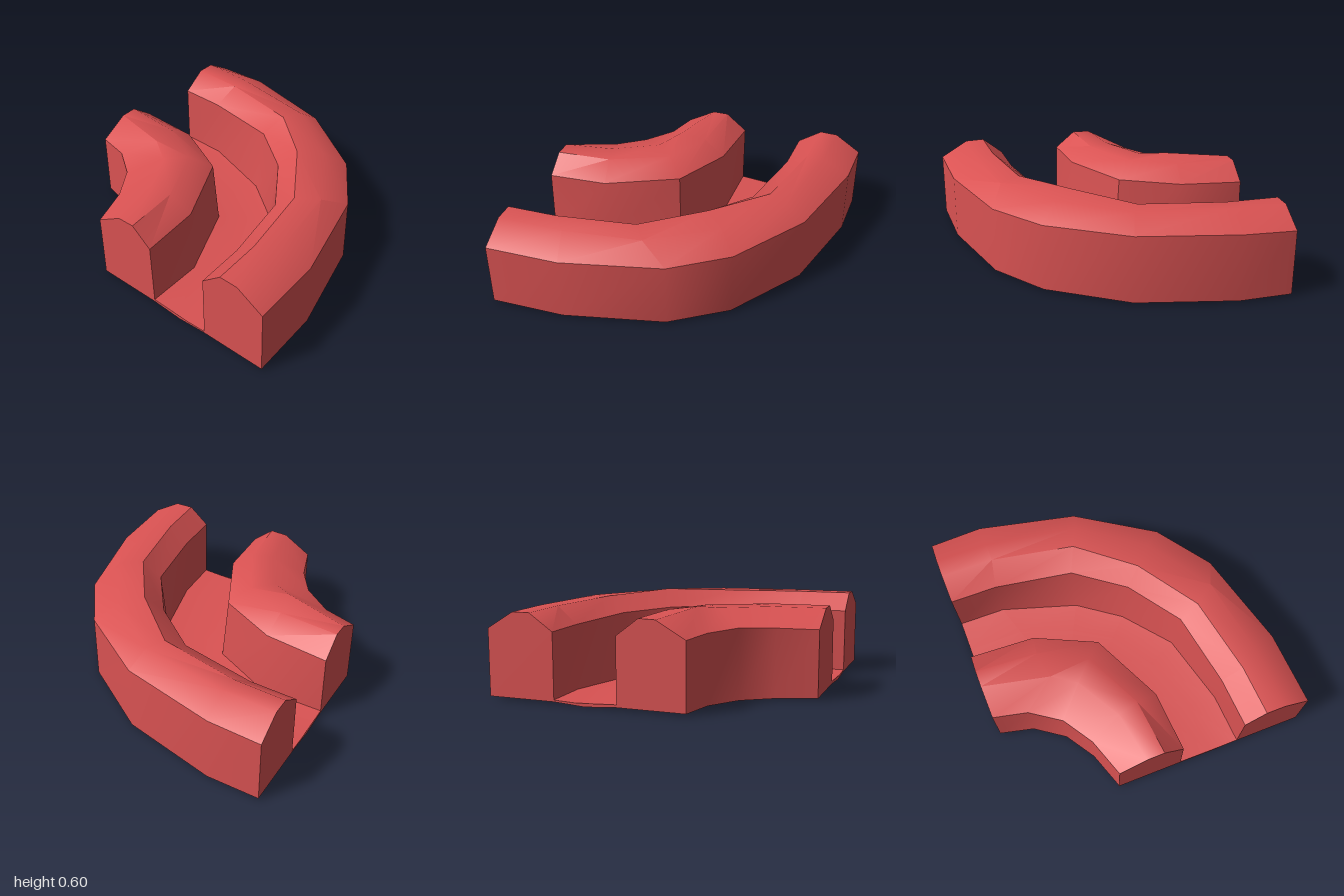
import * as THREE from 'three';
import { toCreasedNormals } from 'three/addons/utils/BufferGeometryUtils.js';

const red = new THREE.MeshStandardMaterial({ color: 0xd95252, side: THREE.DoubleSide });

// A rail is a list of [x, z] plan points, given a height or one height per point
const rail = (points, y) => points.map(([x, z], i) => [x, Array.isArray(y) ? y[i] : y, z]);

// Skin a closed solid across rails that run around the bend, with capped ends
function loft(name, rails, crease) {
  const n = rails[0].length, m = rails.length, pos = [];
  const tri = (...corners) => corners.forEach(c => pos.push(...c));
  for (let s = 0; s < n - 1; s++) {
    for (let r = 0; r < m; r++) {
      const p = rails[r], q = rails[(r + 1) % m];
      tri(p[s], q[s], p[s + 1]);
      tri(q[s], q[s + 1], p[s + 1]);
    }
  }
  for (let r = 1; r < m - 1; r++) {
    tri(rails[0][0], rails[r + 1][0], rails[r][0]);
    tri(rails[0][n - 1], rails[r][n - 1], rails[r + 1][n - 1]);
  }
  const geo = new THREE.BufferGeometry();
  geo.setAttribute('position', new THREE.Float32BufferAttribute(pos, 3));
  const mesh = new THREE.Mesh(toCreasedNormals(geo, crease), red);
  mesh.name = name;
  return mesh;
}

export function createModel() {
  const group = new THREE.Group();
  group.name = 'curvedChannel';

  // Outer wall: broad sweep with a bevelled crest
  const outerFace = [[-1, -1], [-0.64, -1], [0.02, -0.85], [0.53, -0.52], [0.79, -0.16], [0.97, 0.5], [1, 1]];
  const outerCrestA = [[-1, -0.82], [-0.64, -0.81], [-0.02, -0.71], [0.41, -0.40], [0.70, 0.03], [0.79, 0.55], [0.81, 1]];
  const outerCrestB = [[-1, -0.7], [-0.64, -0.69], [-0.08, -0.58], [0.28, -0.27], [0.56, 0.13], [0.66, 0.66], [0.68, 1]];
  const outerLip = [[-1, -0.54], [-0.68, -0.535], [-0.15, -0.44], [0.18, -0.19], [0.43, 0.16], [0.52, 0.66], [0.54, 1]];
  const outerFoot = [[-1, -0.54], [-0.68, -0.535], [-0.16, -0.37], [0.13, -0.16], [0.39, 0.16], [0.52, 0.66], [0.54, 1]];
  group.add(loft('outerWall', [
    rail(outerFace, 0.015),
    rail(outerFace, [0.46, 0.475, 0.475, 0.47, 0.465, 0.46, 0.46]),
    rail(outerCrestA, 0.572),
    rail(outerCrestB, [0.572, 0.572, 0.575, 0.6, 0.575, 0.575, 0.575]),
    rail(outerLip, [0.46, 0.46, 0.47, 0.48, 0.47, 0.46, 0.46]),
    rail(outerFoot, 0.015),
  ], 0.62));

  // Inner wall: tight bend with the same bevelled crest
  const innerLip = [[-1, -0.11], [-0.56, -0.08], [-0.16, 0.11], [0.07, 0.59], [0.1, 1]];
  const innerFoot = [[-1, -0.11], [-0.55, -0.115], [-0.13, 0.09], [0.1, 0.61], [0.11, 1]];
  const innerCrestA = [[-1, 0.04], [-0.58, 0.07], [-0.27, 0.23], [-0.08, 0.62], [-0.04, 1]];
  const innerCrestB = [[-1, 0.15], [-0.55, 0.26], [-0.39, 0.36], [-0.22, 0.66], [-0.16, 1]];
  const innerFace = [[-1, 0.345], [-0.77, 0.4], [-0.57, 0.54], [-0.44, 0.74], [-0.35, 1]];
  group.add(loft('innerWall', [
    rail(innerFoot, 0.015),
    rail(innerLip, [0.46, 0.475, 0.48, 0.47, 0.46]),
    rail(innerCrestA, 0.575),
    rail(innerCrestB, [0.572, 0.6, 0.575, 0.575, 0.572]),
    rail(innerFace, [0.46, 0.47, 0.48, 0.47, 0.46]),
    rail(innerFace, 0.015),
  ], 0.62));

  // Thin floor between the walls, sagging slightly along its middle
  const floorInner = [[-1, -0.11], [-0.55, -0.115], [-0.34, -0.01], [-0.13, 0.09], [-0.02, 0.34], [0.1, 0.61], [0.11, 1]];
  const floorMid = floorInner.map(([x, z], i) => [(x + outerFoot[i][0]) / 2, (z + outerFoot[i][1]) / 2]);
  group.add(loft('floor', [
    rail(outerFoot, 0.015),
    rail(outerFoot, 0.027),
    rail(floorMid, 0.018),
    rail(floorInner, 0.033),
    rail(floorInner, 0.015),
    rail(floorMid, 0),
  ], 0.62));

  return group;
}
